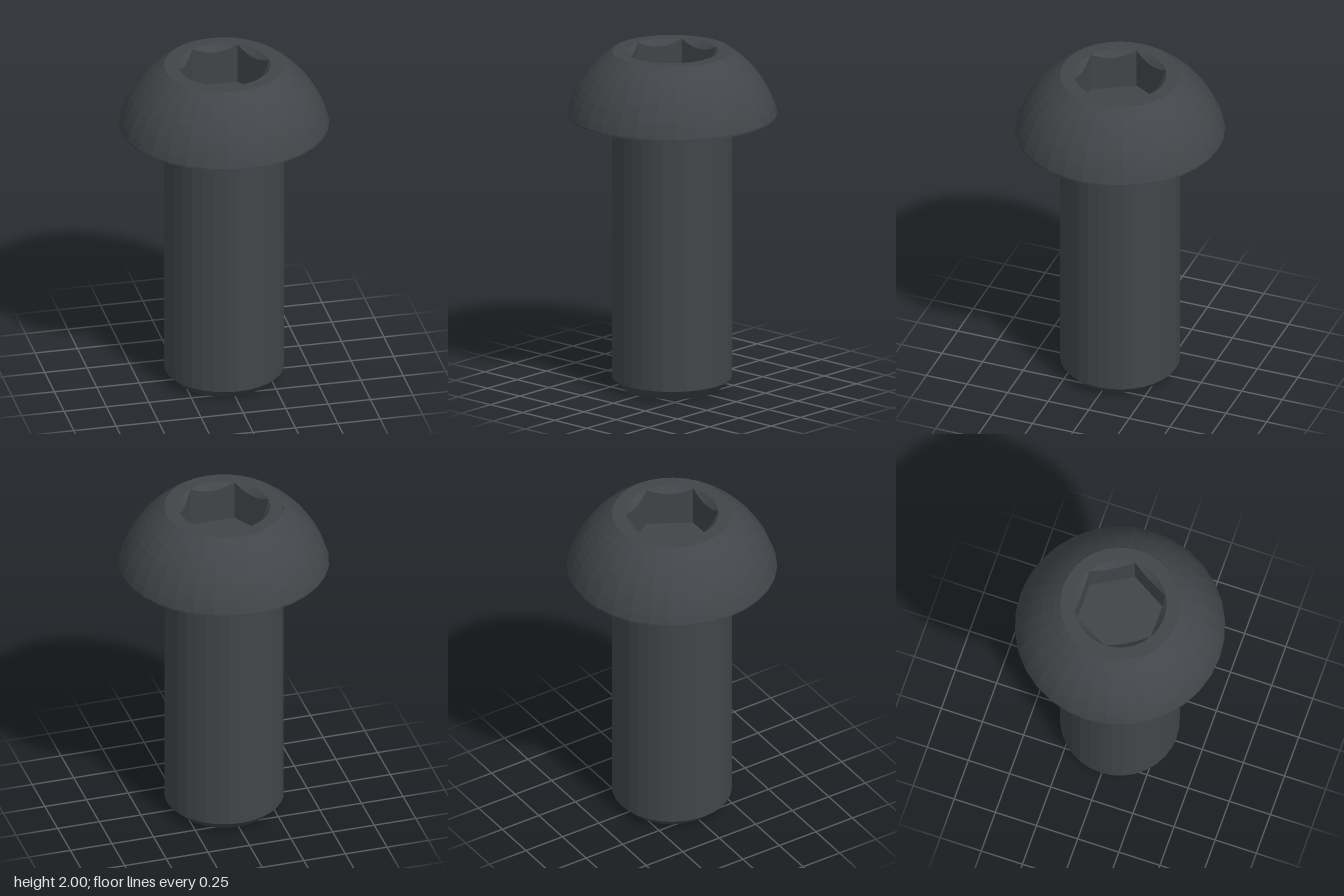
import * as THREE from 'three';

const SIDES = 32;
const TOP = 2, RIM_R = 0.345;           // flat top of the head
const SHANK_R = 0.345, HEAD_R = 0.605;
const HEX_CORNER = 0.267, HEX_FLAT = HEX_CORNER * Math.cos(Math.PI / 6);
const SOCKET_FLOOR = 1.76;

const lathe = (pts) =>
  new THREE.LatheGeometry(pts.map(([r, y]) => new THREE.Vector2(r, y)), SIDES);

// Points evenly spread on a circle
const circle = (r, n) => Array.from({ length: n }, (_, i) => {
  const a = (i / n) * Math.PI * 2;
  return new THREE.Vector2(r * Math.cos(a), r * Math.sin(a));
});

// Shank with end chamfer and a small fillet below the head
function shankGeometry() {
  const pts = [[0, 0], [SHANK_R - 0.06, 0], [SHANK_R, 0.06]];
  for (let i = 0; i <= 4; i++) {
    const a = (i / 4) * Math.PI / 2;
    pts.push([SHANK_R + 0.02 * (1 - Math.cos(a)), 1.605 + 0.02 * Math.sin(a)]);
  }
  return lathe(pts);
}

// Domed head: flat underside, short lip, arc centred on the axis
function headGeometry() {
  const pts = [[SHANK_R + 0.02, 1.625], [HEAD_R, 1.625]];
  const cy = 1.4795, R = Math.hypot(HEAD_R, 1.635 - cy);
  const a0 = Math.atan2(1.635 - cy, HEAD_R), a1 = Math.atan2(TOP - cy, RIM_R);
  for (let i = 0; i <= 10; i++) {
    const a = a0 + (a1 - a0) * i / 10;
    pts.push([R * Math.cos(a), cy + R * Math.sin(a)]);
  }
  return lathe(pts);
}

// Flat ring around the socket mouth
function topRingGeometry(n) {
  const shape = new THREE.Shape(circle(RIM_R, SIDES));
  shape.holes.push(new THREE.Path(circle(HEX_CORNER, n)));
  return new THREE.ShapeGeometry(shape).rotateX(-Math.PI / 2).translate(0, TOP, 0);
}

// Hexagonal socket: conical countersink cut by six walls, then a flat floor
function socketGeometry(n) {
  const pos = [], index = [], step = Math.PI / 3;
  for (let i = 0; i <= n; i++) {
    const a = (i / n) * Math.PI * 2;
    const r = HEX_FLAT / Math.cos((a % step) - step / 2);
    const rows = [[HEX_CORNER, TOP], [r, TOP - (HEX_CORNER - r)], [r, SOCKET_FLOOR], [0, SOCKET_FLOOR]];
    for (const [rr, y] of rows) pos.push(rr * Math.cos(a), y, rr * Math.sin(a));
    if (i === n) continue;
    for (let k = 0; k < 3; k++) {
      const p = i * 4 + k, q = p + 4;
      index.push(p, p + 1, q);
      if (k < 2) index.push(p + 1, q + 1, q);
    }
  }
  const g = new THREE.BufferGeometry();
  g.setAttribute('position', new THREE.Float32BufferAttribute(pos, 3));
  g.setIndex(index);
  g.computeVertexNormals();
  return g;
}

export function createModel() {
  const group = new THREE.Group();
  group.name = 'buttonHeadScrew';
  const material = new THREE.MeshStandardMaterial({ color: 0x424549, flatShading: true });
  const add = (name, geometry) => {
    const mesh = new THREE.Mesh(geometry, material);
    mesh.name = name;
    group.add(mesh);
  };
  const mouthSides = 48; // a multiple of six, so the hexagon corners meet the rim
  add('shank', shankGeometry());
  add('head', headGeometry());
  add('topRing', topRingGeometry(mouthSides));
  add('hexSocket', socketGeometry(mouthSides));
  return group;
}
